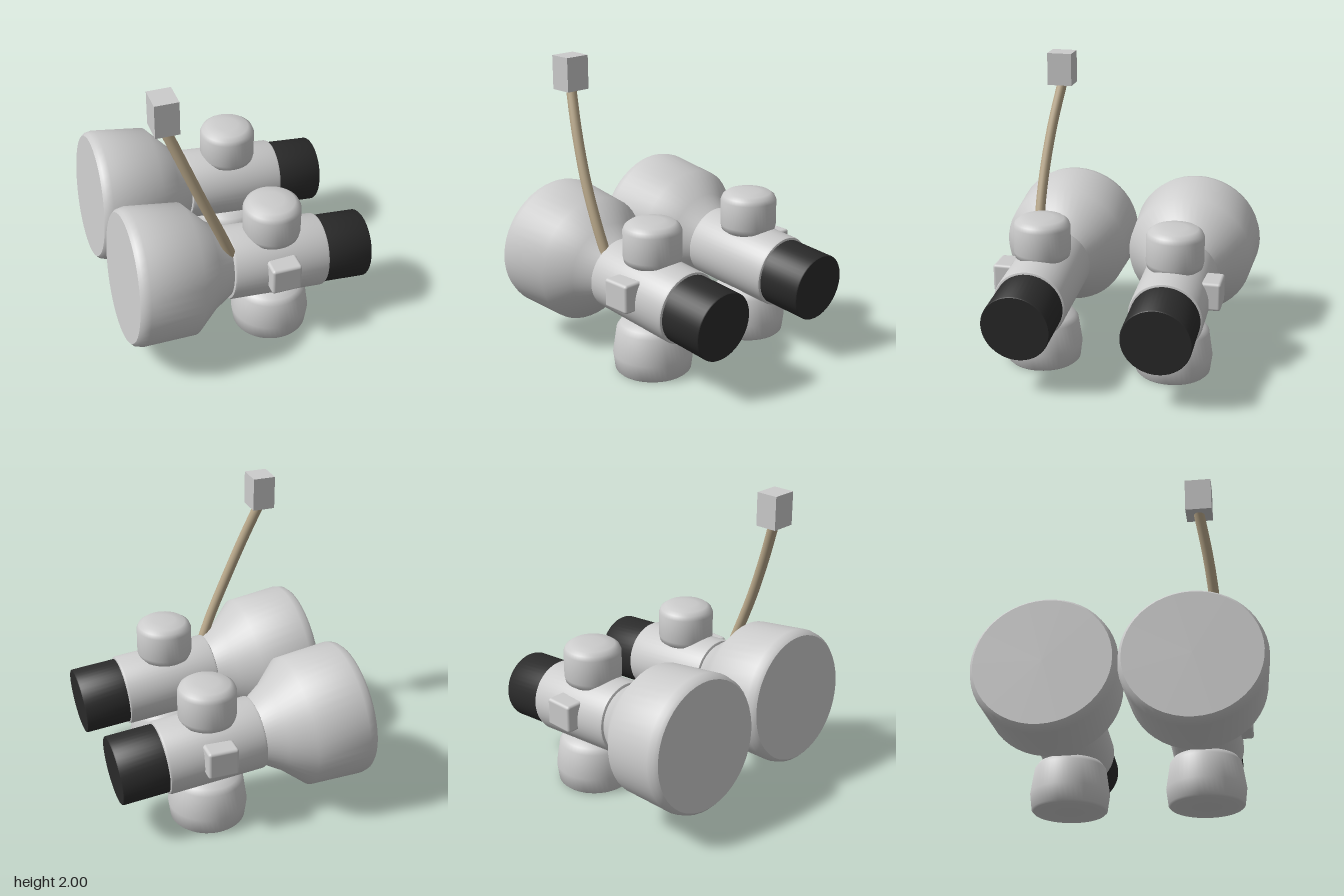
import * as THREE from 'three';
import { toCreasedNormals } from 'three/addons/utils/BufferGeometryUtils.js';
import { RoundedBoxGeometry } from 'three/addons/geometries/RoundedBoxGeometry.js';

const TILT = THREE.MathUtils.degToRad(5.1);
const SPACING = 0.455;

function material(name, color) {
  const m = new THREE.MeshStandardMaterial({ color });
  m.name = name;
  return m;
}

// Round part from [radius, height] pairs, listed bottom to top
function turned(name, profile, mat, crease = 0.8) {
  const points = profile.map(([r, y]) => new THREE.Vector2(r, y));
  const mesh = new THREE.Mesh(toCreasedNormals(new THREE.LatheGeometry(points, 48), crease), mat);
  mesh.name = name;
  return mesh;
}

export function createModel() {
  const model = new THREE.Group();
  model.name = 'twinLamps';
  const grey = material('light grey', 0xcccccc);
  const black = material('black', 0x2b2b2b);
  const tan = material('tan', 0xb9a88a);

  for (const side of [1, -1]) {
    const unit = new THREE.Group();
    unit.name = side > 0 ? 'frontUnit' : 'rearUnit';
    unit.position.z = side * SPACING;
    model.add(unit);

    // Barrel assembly on a tilted axis, local +y running toward +x
    const barrel = new THREE.Group();
    barrel.name = 'barrel';
    barrel.position.set(0.2, 0.546, 0);
    barrel.rotation.z = -(Math.PI / 2 + TILT);
    barrel.add(
      turned('bell', [[0, -1.03], [0.43, -1.03], [0.449, -1.01], [0.46, -0.965],
        [0.44, -0.607], [0.305, -0.46], [0.222, -0.33], [0, -0.33]], grey),
      turned('body', [[0, -0.338], [0.232, -0.338], [0.243, -0.333], [0.247, -0.32],
        [0.247, 0.316], [0.243, 0.328], [0.232, 0.333], [0, 0.333]], grey),
      turned('eyepiece', [[0, 0.31], [0.23, 0.31], [0.23, 0.64], [0.225, 0.646], [0, 0.646]], black),
    );
    unit.add(barrel);

    // Upright knob and foot
    const knob = turned('topKnob', [[0, 0.7], [0.15, 0.73], [0.185, 0.755], [0.193, 0.79],
      [0.193, 0.965], [0.18, 0.995], [0.15, 1.017], [0.08, 1.027], [0, 1.03]], grey);
    const foot = turned('foot', [[0, 0], [0.24, 0], [0.252, 0.012], [0.266, 0.12],
      [0.24, 0.295], [0.215, 0.33], [0.15, 0.355], [0, 0.365]], grey);
    knob.position.x = foot.position.x = 0.2;
    unit.add(knob, foot);

    // Button on the outer side
    const button = new THREE.Mesh(new RoundedBoxGeometry(0.206, 0.194, 0.14, 3, 0.02), grey);
    button.name = 'sideButton';
    button.position.set(0.198, 0.592, side * 0.253);
    unit.add(button);
  }

  // Bent stalk with a block at its tip
  const path = new THREE.CatmullRomCurve3([
    [-0.12, 0.73, 0.575], [-0.2, 0.94, 0.585], [-0.305, 1.2, 0.578],
    [-0.42, 1.5, 0.548], [-0.53, 1.79, 0.5],
  ].map((p) => new THREE.Vector3(...p)));
  const stalk = new THREE.Mesh(new THREE.TubeGeometry(path, 32, 0.035, 16), tan);
  stalk.name = 'stalk';
  const tip = new THREE.Mesh(new THREE.BoxGeometry(0.154, 0.226, 0.172), grey);
  tip.name = 'stalkTip';
  tip.position.set(-0.527, 1.887, 0.502);
  model.add(stalk, tip);

  return model;
}
